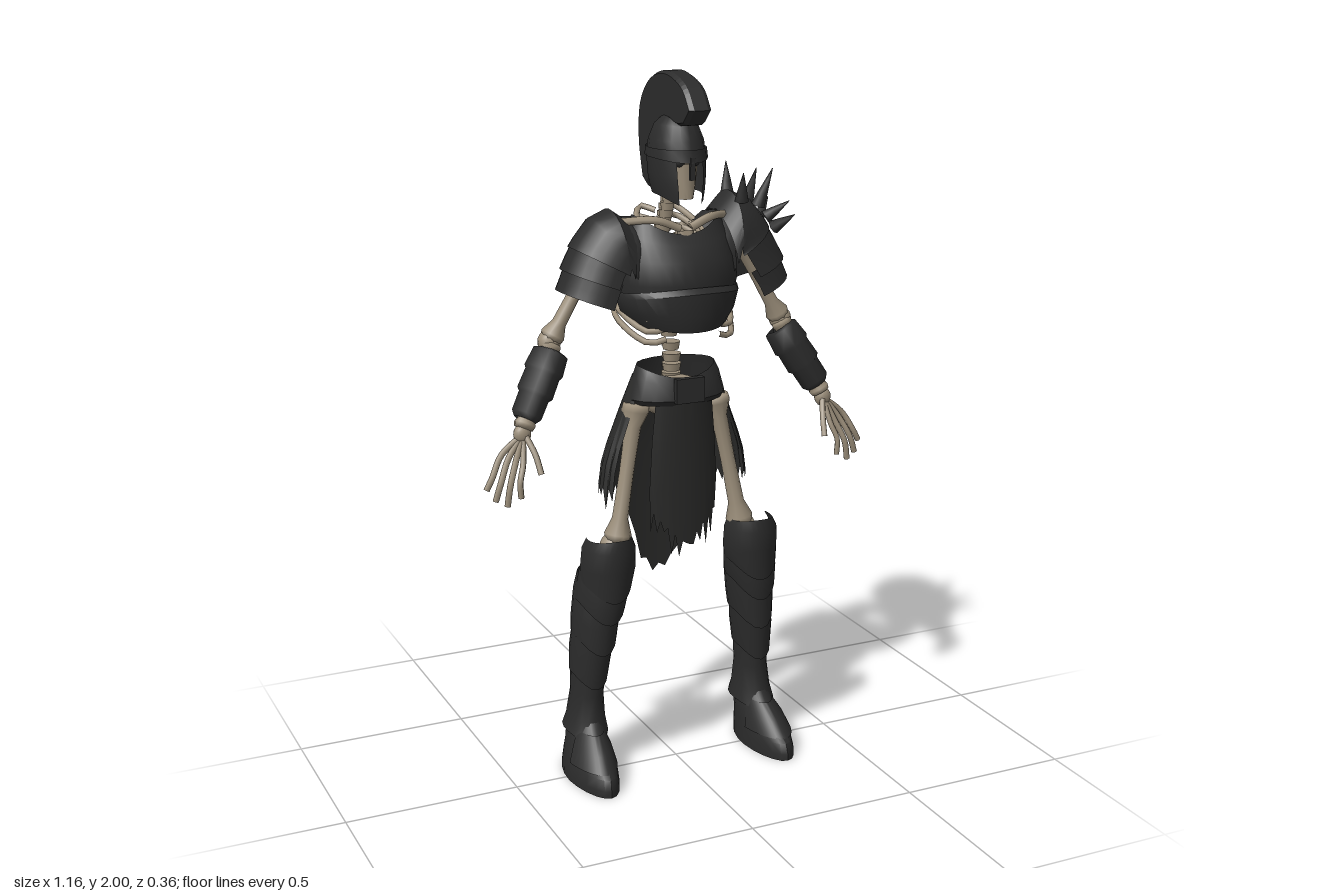
import * as THREE from 'three';
import { toCreasedNormals } from 'three/addons/utils/BufferGeometryUtils.js';

const { sin, cos, PI, max, abs } = Math;
const V = (p) => new THREE.Vector3(...p);
const FRONT = PI / 180;

export function createModel() {
  const root = new THREE.Group();
  const armour = new THREE.MeshStandardMaterial({ color: 0x2b2b2b, side: THREE.DoubleSide });
  const cloth = new THREE.MeshStandardMaterial({ color: 0x292928, side: THREE.DoubleSide });
  const bone = new THREE.MeshStandardMaterial({ color: 0x9c8f7b });
  armour.name = 'blackened armour';
  cloth.name = 'black cloth';
  bone.name = 'old bone';

  let seed = 7;
  const rand = () => (seed = (seed * 16807) % 2147483647) / 2147483647;

  const add = (parent, name, geo, mat) => {
    const m = new THREE.Mesh(geo, mat);
    m.name = name;
    parent.add(m);
    return m;
  };

  // Skin a grid of points, rows x columns
  const skin = (rows, crease = 0.6) => {
    const n = rows[0].length, idx = [];
    for (let i = 0; i < rows.length - 1; i++)
      for (let j = 0; j < n - 1; j++) {
        const a = i * n + j, b = a + n;
        idx.push(a, b, b + 1, a, b + 1, a + 1);
      }
    const g = new THREE.BufferGeometry();
    g.setAttribute('position', new THREE.Float32BufferAttribute(rows.flat(2), 3));
    g.setIndex(idx);
    return toCreasedNormals(g, crease);
  };

  // Horizontal sections from top to bottom: [y, cx, cz, rx, rz, front dip]; angle 0 is the front
  const loft = (sections, { from = 0, to = 360, n = 18, taper = 0, hem = null } = {}) =>
    skin(sections.map(([y, cx, cz, rx, rz, dip = 0], i) => {
      const t = i / (sections.length - 1), row = [];
      for (let j = 0; j <= n; j++) {
        const a = (from + (to - from) * j / n) * FRONT, f = max(0, cos(a));
        row.push([cx + rx * sin(a) * (1 - taper * f), y - dip * f * f - (hem ? hem[j] * t * t : 0), cz + rz * cos(a)]);
      }
      return row;
    }));

  // Lathe profile [radius, 0..1] laid from p to q
  const between = (p, q, profile, sides = 10) => {
    const a = V(p), d = V(q).sub(a), len = d.length();
    const g = new THREE.LatheGeometry(profile.map(([r, t]) => new THREE.Vector2(r, t * len)), sides);
    g.applyQuaternion(new THREE.Quaternion().setFromUnitVectors(V([0, 1, 0]), d.normalize()));
    return g.translate(...p);
  };
  const longBone = (p, q, r) => between(p, q,
    [[0.001, 0], [r * 1.6, 0.02], [r * 1.7, 0.07], [r, 0.18], [r * 0.9, 0.5], [r, 0.82], [r * 1.7, 0.93], [r * 1.5, 0.98], [0.001, 1]]);
  const tube = (pts, r, seg = 14) => new THREE.TubeGeometry(new THREE.CatmullRomCurve3(pts.map(V)), seg, r, 6);
  const ball = (x, y, z, rx, ry, rz) => new THREE.SphereGeometry(1, 14, 10).scale(rx, ry, rz).translate(x, y, z);

  // Head: skull, jaw, neck
  const head = new THREE.Group();
  head.name = 'head';
  root.add(head);
  add(head, 'skull', ball(0, 1.775, 0.0, 0.058, 0.075, 0.078), bone);
  add(head, 'jaw', loft([[1.76, 0, 0.03, 0.045, 0.05], [1.7, 0, 0.035, 0.036, 0.046], [1.665, 0, 0.045, 0.026, 0.035], [1.66, 0, 0.045, 0.001, 0.001]]), bone);
  for (const s of [-1, 1]) add(head, 'eyeSocket', ball(s * 0.022, 1.765, 0.072, 0.015, 0.013, 0.008), armour);

  // Helmet with an open face, nose guard and tall crest
  add(head, 'helmetDome', loft([[1.895, 0, 0, 0.001, 0.001], [1.885, 0, 0, 0.03, 0.04], [1.86, 0, 0, 0.055, 0.075], [1.82, 0, 0, 0.071, 0.093], [1.78, 0, 0, 0.076, 0.1, -0.005]]), armour);
  add(head, 'helmetCheeks', loft([[1.78, 0, 0, 0.076, 0.1], [1.73, 0, 0.005, 0.075, 0.1], [1.7, 0, 0.008, 0.07, 0.1, 0.015], [1.675, 0, 0.01, 0.064, 0.095, 0.03]], { from: 30, to: 330 }), armour);
  add(head, 'browBand', loft([[1.8, 0, 0, 0.078, 0.104], [1.775, 0, 0.002, 0.08, 0.108, 0.01]]), armour);
  add(head, 'noseGuard', new THREE.BoxGeometry(0.014, 0.06, 0.012).translate(0, 1.75, 0.103), armour);
  const crestLine = new THREE.Shape();
  crestLine.moveTo(0.15, 1.91);
  crestLine.splineThru([[0.1, 1.965], [0, 1.992], [-0.1, 1.97], [-0.165, 1.9], [-0.175, 1.8], [-0.15, 1.7]].map((p) => new THREE.Vector2(...p)));
  crestLine.lineTo(-0.115, 1.68);
  crestLine.splineThru([[-0.1, 1.76], [-0.085, 1.83], [0, 1.88], [0.07, 1.87], [0.115, 1.875]].map((p) => new THREE.Vector2(...p)));
  add(head, 'crest', new THREE.ExtrudeGeometry(crestLine, { depth: 0.04, bevelSize: 0.008, bevelThickness: 0.012, bevelSegments: 1, curveSegments: 5 })
    .translate(0, 0, -0.02).rotateY(-PI / 2), armour);

  // Spine of stacked vertebrae
  const spine = new THREE.CatmullRomCurve3([[0, 1.1, -0.04], [0, 1.22, -0.03], [0, 1.38, -0.085], [0, 1.52, -0.1], [0, 1.62, -0.06], [0, 1.71, -0.01]].map(V));
  for (let i = 0; i <= 22; i++) {
    const p = spine.getPoint(i / 22), r = 0.03 - 0.0005 * i;
    add(root, 'vertebra', new THREE.CylinderGeometry(r, r * 0.85, 0.022, 8).translate(p.x, p.y, p.z), bone);
    add(root, 'vertebraSpur', new THREE.BoxGeometry(0.012, 0.014, 0.03).translate(p.x, p.y - 0.005, p.z - r - 0.008), bone);
  }
  add(root, 'sternum', loft([[1.58, 0, 0.06, 0.025, 0.01], [1.36, 0, 0.11, 0.018, 0.01]]), bone);
  add(root, 'pelvis', ball(0, 1.1, -0.01, 0.1, 0.06, 0.055), bone);

  // Breastplate and belly plate
  add(root, 'breastplate', loft([[1.62, 0, -0.01, 0.125, 0.08, 0.05], [1.57, 0, -0.01, 0.15, 0.105, 0.03], [1.5, 0, -0.01, 0.172, 0.135],
    [1.44, 0, -0.01, 0.18, 0.145], [1.38, 0, -0.01, 0.165, 0.14]], { from: -95, to: 95 }), armour);
  add(root, 'bellyPlate', loft([[1.415, 0, -0.01, 0.178, 0.15, -0.02], [1.4, 0, -0.01, 0.18, 0.165, -0.02], [1.36, 0, -0.01, 0.165, 0.167], [1.325, 0, -0.01, 0.14, 0.155, 0.012]], { from: -88, to: 88 }), armour);

  // Belt, buckle and ragged skirt
  add(root, 'belt', loft([[1.2, 0, -0.005, 0.115, 0.075, 0.03], [1.17, 0, 0, 0.128, 0.084, 0.02], [1.11, 0, 0, 0.145, 0.09], [1.095, 0, 0, 0.135, 0.08]]), armour);
  add(root, 'buckle', new THREE.BoxGeometry(0.085, 0.07, 0.02).translate(0, 1.14, 0.09), armour);
  const ragged = (n, from, to, depth) => Array.from({ length: n + 1 }, (_, j) =>
    depth((from + (to - from) * j / n) * FRONT) + (j % 2 ? 0.0 : 0.07 * rand()) + 0.02 * rand());
  add(root, 'skirt', loft([[1.17, 0, -0.01, 0.125, 0.075], [1.08, 0, -0.015, 0.16, 0.095], [0.98, 0, -0.02, 0.2, 0.1], [0.93, 0, -0.02, 0.217, 0.1], [0.87, 0, -0.02, 0.226, 0.1]],
    { from: 65, to: 295, n: 46, hem: ragged(46, 65, 295, (a) => 0.3 * max(0, -cos(a)) ** 8) }), cloth);
  add(root, 'loincloth', loft([[1.12, 0, 0, 0.11, 0.083], [1, 0, 0, 0.125, 0.078], [0.88, 0, 0, 0.135, 0.075], [0.8, 0, 0, 0.13, 0.072]],
    { from: -50, to: 50, n: 20, hem: ragged(20, -50, 50, (a) => 0.1 * cos(a) ** 6) }), cloth);

  // Everything that comes in pairs is built on the model's left
  const pair = (name, build) => {
    for (const s of [1, -1]) {
      const g = new THREE.Group();
      g.name = (s > 0 ? 'left' : 'right') + name;
      g.scale.x = s;
      root.add(g);
      build(g, s);
    }
  };

  pair('Ribs', (g) => {
    for (let i = 0; i < 9; i++) {
      const y = 1.61 - i * 0.03, w = 0.085 + 0.075 * sin(PI / 2 * i / 8);
      add(g, 'rib', tube([[0.015, y, -0.1], [w * 0.55, y + 0.01, -0.135], [w * 0.95, y - 0.02, -0.08], [w, y - 0.05, 0],
        [w * 0.75, y - 0.085, 0.06 + i * 0.004], [0.03 + i * 0.006, y - 0.075, 0.075 + i * 0.004]], 0.0085), bone);
    }
    add(g, 'collarbone', tube([[0.015, 1.585, 0.06], [0.08, 1.61, 0.05], [0.17, 1.6, -0.02]], 0.012), bone);
    add(g, 'shoulderBlade', ball(0.1, 1.51, -0.125, 0.05, 0.07, 0.01), bone);
  });

  pair('Arm', (g) => {
    add(g, 'upperArmBone', longBone([0.19, 1.56, -0.05], [0.355, 1.28, -0.055], 0.02), bone);
    add(g, 'elbow', ball(0.355, 1.28, -0.055, 0.032, 0.035, 0.032), bone);
    add(g, 'forearmBone', longBone([0.35, 1.28, -0.05], [0.46, 1.06, 0.01], 0.018), bone);
    // Bracer in three overlapping bands
    add(g, 'bracer', between([0.35, 1.255, -0.05], [0.45, 1.085, 0],
      [[0.036, 0], [0.05, 0.03], [0.056, 0.3], [0.05, 0.34], [0.052, 0.62], [0.044, 0.66], [0.043, 0.93], [0.032, 1]].reverse(), 9), armour).material = armour;
    add(g, 'bracerPoint', between([0.39, 1.2, -0.04], [0.345, 1.27, -0.085], [[0.04, 0], [0.024, 0.6], [0.001, 1]], 6), armour);
    // Hand bones
    add(g, 'wrist', ball(0.463, 1.05, 0.012, 0.025, 0.028, 0.02), bone);
    const tips = [[0.487, 0.885, 0.06], [0.525, 0.865, 0.055], [0.555, 0.88, 0.045], [0.575, 0.91, 0.03]];
    tips.forEach(([x, y, z], i) => add(g, 'finger',
      tube([[0.462, 1.05, 0.015], [0.474 + 0.017 * i, 0.975 + 0.008 * i, 0.045 - 0.01 * i], [(0.474 + 0.017 * i + x) / 2 + 0.008, (0.975 + y) / 2, z], [x, y, z]], 0.0085), bone));
    add(g, 'thumb', tube([[0.458, 1.05, 0.02], [0.442, 1.0, 0.055], [0.435, 0.95, 0.08]], 0.009), bone);
  });

  // Pauldrons: arched plates following a line over the shoulder
  const pauldronPlate = (line, w, drop) => skin(line.map(([x, y, lean, grow = 0]) => {
    const row = [], a = lean * FRONT;
    for (let j = 0; j <= 14; j++) {
      const t = PI / 2 * (1 - 2 * j / 14), d = drop * (1 - cos(t)) - grow;
      row.push([x - sin(a) * d, y - cos(a) * d, -0.042 + (w + grow) * sin(t)]);
    }
    return row;
  }));
  pair('Pauldron', (g, s) => {
    const k = s > 0 ? 1 : 0, up = 0.028 * k, out = 0.022 * k;
    add(g, 'shoulderStrap', pauldronPlate([[0.075, 1.585, -25], [0.11, 1.61, -15], [0.15, 1.612, 0]], 0.115, 0.15), armour);
    add(g, 'upperPlate', pauldronPlate([[0.13, 1.6 + up / 2, -10], [0.18, 1.635 + up, 5], [0.235, 1.612 + up, 30], [0.275, 1.565 + up, 50], [0.29, 1.535 + up, 62, 0.004]], 0.12, 0.14), armour);
    add(g, 'middlePlate', pauldronPlate([[0.275, 1.56 + up, 55], [0.3 + out / 2, 1.515 + up / 2, 66], [0.312 + out, 1.475, 70, 0.006]], 0.115, 0.125), armour);
    add(g, 'lowerPlate', pauldronPlate([[0.3 + out / 2, 1.5, 65], [0.32 + out, 1.45, 68], [0.328 + out, 1.42, 70, 0.004]], 0.112, 0.125), armour);
  });
  const spikes = [[0.19, 1.64, 0.02, 0.185, 1.72, 0.04], [0.25, 1.62, 0, 0.285, 1.725, 0.02], [0.29, 1.58, -0.03, 0.355, 1.625, -0.01],
    [0.26, 1.61, -0.09, 0.325, 1.7, -0.155], [0.2, 1.64, -0.09, 0.215, 1.73, -0.13], [0.29, 1.56, 0.02, 0.33, 1.6, 0.07], [0.3, 1.56, -0.1, 0.35, 1.62, -0.13]];
  for (const p of spikes) add(root, 'pauldronSpike', between(p.slice(0, 3), p.slice(3), [[0.02, 0], [0.014, 0.35], [0.001, 1]], 7), armour);

  pair('Leg', (g) => {
    add(g, 'thighBone', longBone([0.12, 1.1, 0], [0.195, 0.7, 0.025], 0.023), bone);
    add(g, 'kneeJoint', ball(0.2, 0.69, 0.02, 0.042, 0.045, 0.04), bone);
    add(g, 'shinBone', longBone([0.2, 0.68, 0.01], [0.26, 0.12, -0.04], 0.022), bone);
    // Knee guard in two plates
    add(g, 'kneePlate', loft([[0.725, 0.22, 0.03, 0.062, 0.08, -0.012], [0.7, 0.222, 0.03, 0.074, 0.086], [0.64, 0.223, 0.025, 0.077, 0.085], [0.6, 0.228, 0.02, 0.072, 0.082, 0.05]], { from: -105, to: 105 }), armour);
    add(g, 'kneeSkirtPlate', loft([[0.63, 0.226, 0.01, 0.07, 0.08], [0.58, 0.232, 0.01, 0.073, 0.087, 0.02], [0.54, 0.238, 0.0, 0.07, 0.085, 0.06]], { from: -110, to: 110 }), armour);
    // Greave in overlapping bands with pointed fronts
    add(g, 'upperGreave', loft([[0.61, 0.232, -0.015, 0.06, 0.078, 0.02], [0.56, 0.238, -0.015, 0.067, 0.082], [0.48, 0.246, -0.018, 0.066, 0.084, 0.02], [0.43, 0.25, -0.02, 0.062, 0.082, 0.05]]), armour);
    add(g, 'middleGreave', loft([[0.47, 0.248, -0.02, 0.058, 0.074], [0.38, 0.257, -0.028, 0.059, 0.076, 0.01], [0.31, 0.262, -0.034, 0.053, 0.07, 0.04]]), armour);
    add(g, 'lowerGreave', loft([[0.36, 0.26, -0.032, 0.05, 0.066], [0.24, 0.265, -0.042, 0.046, 0.062], [0.17, 0.268, -0.045, 0.053, 0.072], [0.13, 0.27, -0.045, 0.062, 0.09, 0.02]]), armour);
    // Boot and toe plates
    add(g, 'boot', loft([[0.18, 0.268, -0.045, 0.045, 0.062], [0.125, 0.272, -0.03, 0.052, 0.09], [0.09, 0.275, -0.002, 0.058, 0.12], [0.05, 0.279, 0.02, 0.064, 0.148],
      [0.02, 0.281, 0.024, 0.068, 0.154], [0, 0.281, 0.024, 0.068, 0.154], [0, 0.281, 0.024, 0.001, 0.001]], { taper: 0.15, n: 20 }), armour);
    add(g, 'instepPlate', loft([[0.14, 0.272, -0.01, 0.04, 0.07], [0.1, 0.277, 0.01, 0.058, 0.105], [0.06, 0.281, 0.02, 0.07, 0.135]], { from: -85, to: 85, taper: 0.15 }), armour);
  });

  return root;
}
